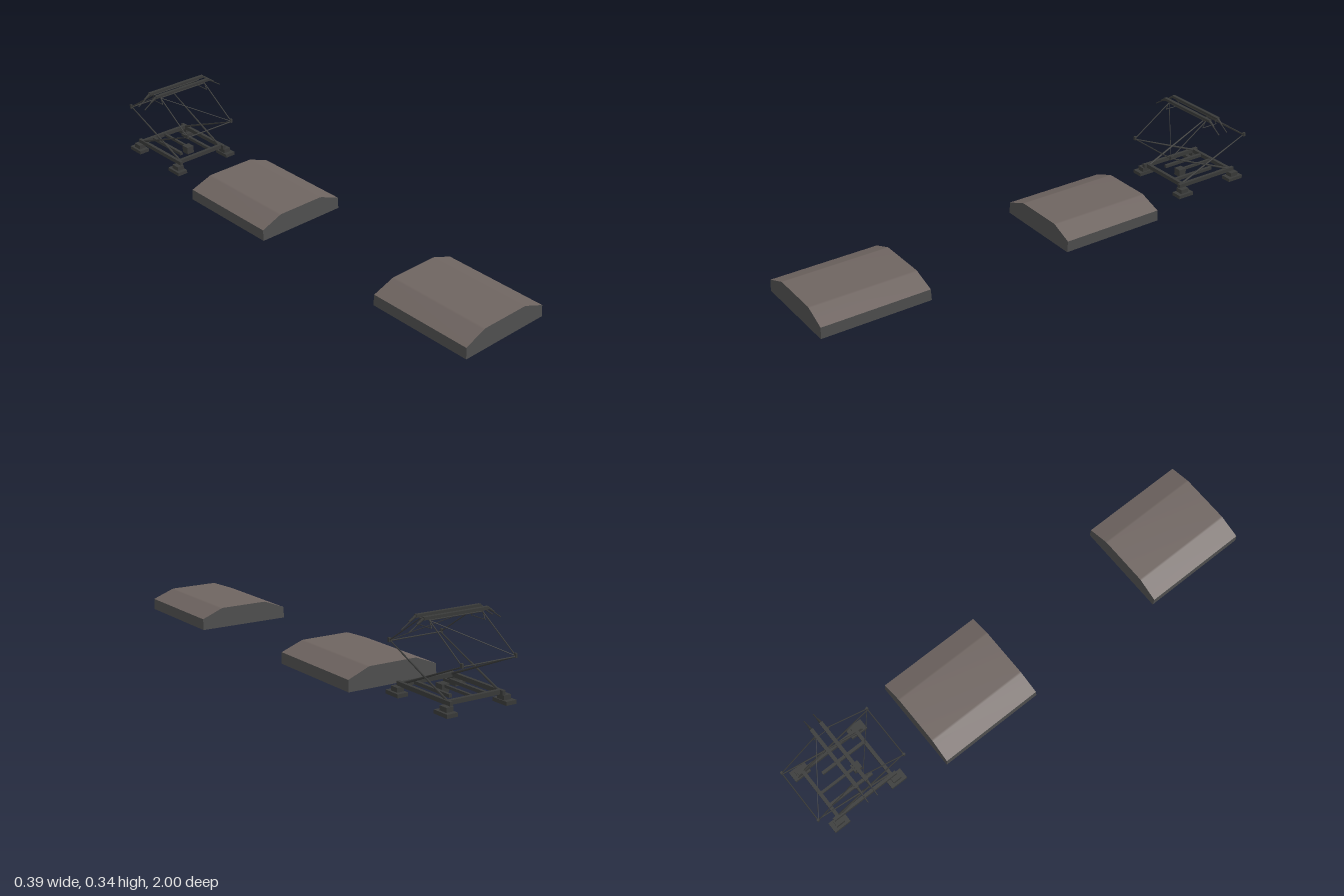
import * as THREE from 'three';

const roofPaint = new THREE.MeshStandardMaterial({ color: 0x6e6460, side: THREE.DoubleSide });
const wallPaint = new THREE.MeshStandardMaterial({ color: 0x4e4e4e, side: THREE.DoubleSide });
const darkSteel = new THREE.MeshStandardMaterial({ color: 0x393a39 });
roofPaint.name = 'brownRoof';
wallPaint.name = 'greyWall';
darkSteel.name = 'darkSteel';

const V = (x, y, z) => new THREE.Vector3(x, y, z);

function add(parent, name, geometry, material) {
  const mesh = new THREE.Mesh(geometry, material);
  mesh.name = name;
  parent.add(mesh);
  return mesh;
}

// Surface lofted between two equally long rows of points
function strip(rowA, rowB) {
  const points = [...rowA, ...rowB], index = [], n = rowA.length;
  for (let i = 0; i < n - 1; i++) index.push(i, n + i, i + 1, i + 1, n + i, n + i + 1);
  const g = new THREE.BufferGeometry().setFromPoints(points);
  g.setIndex(index);
  g.computeVertexNormals();
  return g;
}

function box(parent, name, w, h, d, x, y, z) {
  add(parent, name, new THREE.BoxGeometry(w, h, d), darkSteel).position.set(x, y, z);
}

// Round bar from a to b, optionally tapered
function rod(parent, name, a, b, rA, rB = rA) {
  const mesh = add(parent, name, new THREE.CylinderGeometry(rB, rA, a.distanceTo(b), 6), darkSteel);
  mesh.position.copy(a).lerp(b, 0.5);
  mesh.quaternion.setFromUnitVectors(V(0, 1, 0), b.clone().sub(a).normalize());
}

// Roof hood, open underneath
function hood(zCentre) {
  const group = new THREE.Group();
  group.name = 'roofHood';
  const profile = [[-0.194, 0.045], [-0.108, 0.078], [-0.1, 0.08], [0.1, 0.08], [0.108, 0.078], [0.194, 0.045]];
  const half = 0.221;
  const lean = (y) => half - y * 0.06;
  const topRow = (s) => profile.map(([x, y]) => V(x, y, s * lean(y)));
  const baseRow = (s) => profile.map(([x]) => V(x, 0, s * half));
  add(group, 'hoodTop', strip(topRow(-1), topRow(1)), roofPaint);
  add(group, 'frontWall', strip(topRow(1), baseRow(1)), wallPaint);
  add(group, 'backWall', strip(baseRow(-1), topRow(-1)), wallPaint);
  for (const s of [-1, 1]) {
    const upper = [V(s * 0.194, 0.045, s * lean(0.045)), V(s * 0.194, 0.045, -s * lean(0.045))];
    const lower = [V(s * 0.194, 0, s * half), V(s * 0.194, 0, -s * half)];
    add(group, 'sideWall', strip(upper, lower), wallPaint);
  }
  group.position.z = zCentre;
  return group;
}

// Folding current collector, built around its own centre in z
function collector() {
  const group = new THREE.Group();
  group.name = 'currentCollector';

  // Base frame on four insulated feet
  for (const x of [-1, 1]) {
    for (const z of [-1, 1]) {
      box(group, 'footPlate', 0.044, 0.014, 0.07, x * 0.125, 0.035, z * 0.133);
      box(group, 'footBlock', 0.03, 0.018, 0.036, x * 0.122, 0.05, z * 0.133);
    }
    box(group, 'sideBeam', 0.013, 0.016, 0.29, x * 0.112, 0.066, 0);
  }
  for (const z of [-1, 1]) box(group, 'crossBeam', 0.224, 0.016, 0.014, 0, 0.066, z * 0.125);
  box(group, 'springBar', 0.012, 0.012, 0.2, -0.058, 0.066, -0.027);
  box(group, 'springBar', 0.012, 0.012, 0.2, 0.058, 0.066, 0.027);
  box(group, 'driveBar', 0.01, 0.01, 0.16, 0, 0.066, -0.045);
  box(group, 'driveBox', 0.032, 0.03, 0.034, 0, 0.058, 0.042);

  for (const s of [-1, 1]) {
    const knee = s * 0.195, headZ = s * 0.021;
    for (const x of [-1, 1]) {
      // Lower arms cross one another side by side
      rod(group, 'lowerArm', V(x * (0.106 + s * 0.003), 0.07, -s * 0.12), V(x * 0.109, 0.203, knee), 0.0045, 0.0022);
      box(group, 'kneeJoint', 0.008, 0.016, 0.009, x * 0.113, 0.207, knee);
      rod(group, 'upperArm', V(x * 0.113, 0.205, knee), V(x * 0.113, 0.321, headZ), 0.0022);
      // Head supports and thin horns
      rod(group, 'headLink', V(x * 0.113, 0.295, headZ * 1.7), V(x * 0.113, 0.326, headZ), 0.0018);
      rod(group, 'hornEnd', V(x * 0.137, 0.329, headZ), V(x * 0.162, 0.313, headZ), 0.0055, 0.004);
      rod(group, 'hornTip', V(x * 0.15, 0.319, headZ), V(x * 0.194, 0.29, headZ), 0.0022);
    }
    rod(group, 'kneeTube', V(-0.113, 0.203, knee), V(0.113, 0.203, knee), 0.0024);
    rod(group, 'upperTube', V(-0.113, 0.32, headZ), V(0.113, 0.32, headZ), 0.0022);
    rod(group, 'diagonalBrace', V(s * 0.113, 0.205, knee), V(-s * 0.113, 0.32, headZ), 0.0015);
    box(group, 'contactStrip', 0.276, 0.008, 0.014, 0, 0.331, headZ);
    box(group, 'stripCarrier', 0.3, 0.003, 0.006, 0, 0.3245, headZ);
  }
  for (const x of [-1, 1]) {
    rod(group, 'headTie', V(x * 0.113, 0.295, -0.036), V(x * 0.113, 0.295, 0.036), 0.0016);
  }
  group.position.z = -0.803;
  return group;
}

export function createModel() {
  const model = new THREE.Group();
  model.name = 'roofEquipment';
  model.add(hood(0.779), hood(-0.262), collector());
  return model;
}
